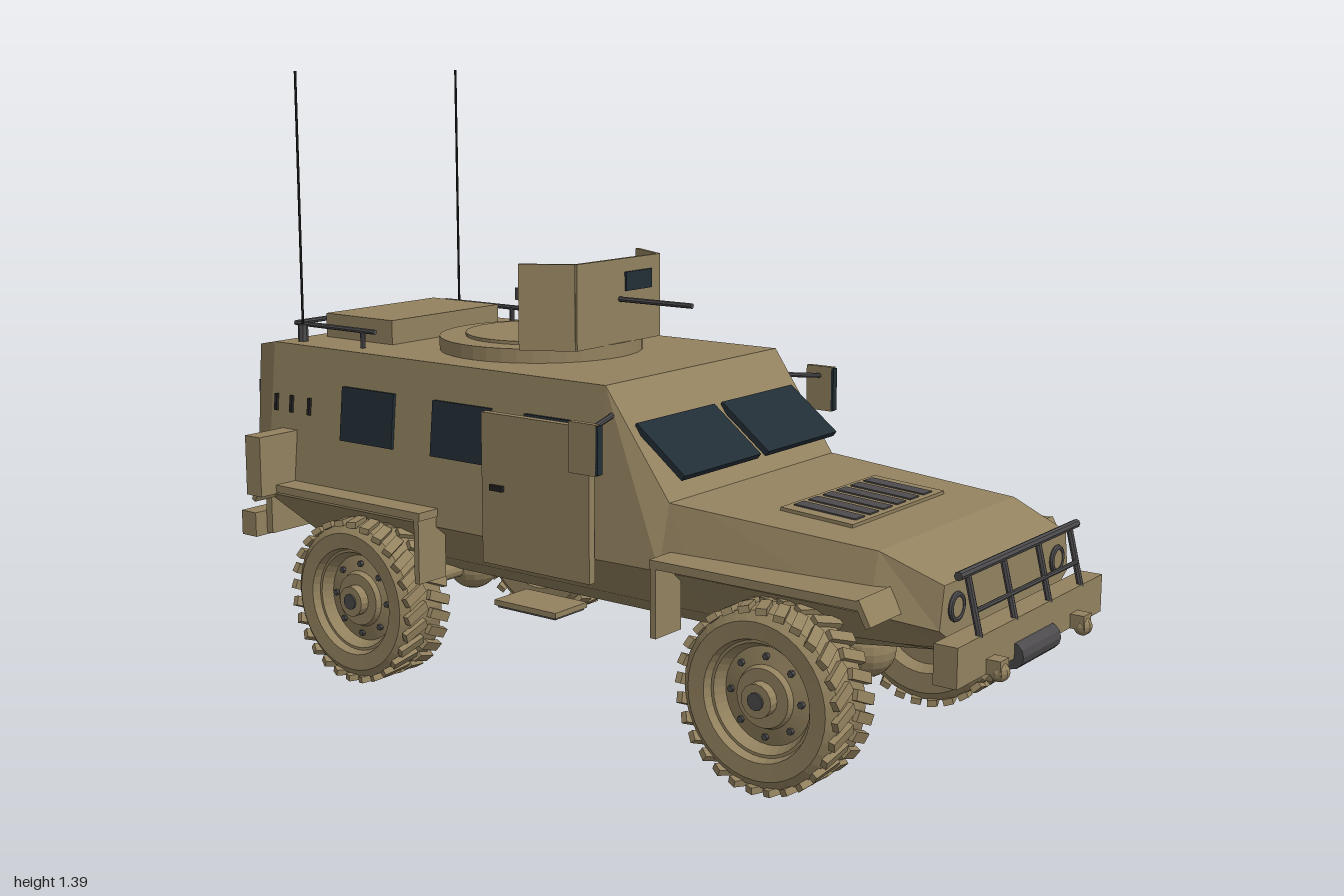
import * as THREE from 'three';

const mat = (name, color) => Object.assign(new THREE.MeshStandardMaterial({ color, flatShading: true }), { name });
const tan = mat('sand paint', 0x93825f);
const glass = mat('dark glass', 0x222e36);
const metal = mat('dark metal', 0x4c4a4c);
const black = mat('black', 0x222222);

function add(parent, name, geo, m, x = 0, y = 0, z = 0) {
  const mesh = new THREE.Mesh(geo, m);
  mesh.name = name;
  mesh.position.set(x, y, z);
  parent.add(mesh);
  return mesh;
}
const box = (p, name, m, w, h, d, x, y, z) => add(p, name, new THREE.BoxGeometry(w, h, d), m, x, y, z);

// Cylinder between two points
function rod(p, name, m, a, b, r, sides = 8) {
  const A = new THREE.Vector3(...a), B = new THREE.Vector3(...b);
  const dir = B.clone().sub(A);
  const mesh = add(p, name, new THREE.CylinderGeometry(r, r, dir.length(), sides), m);
  mesh.position.copy(A).add(B).multiplyScalar(0.5);
  mesh.quaternion.setFromUnitVectors(new THREE.Vector3(0, 1, 0), dir.normalize());
  return mesh;
}

// Skin over mirrored cross-sections; each is z followed by half-outline points from bottom to top
function loft(sections) {
  const pos = [], idx = [];
  const n = (sections[0].length - 1) * 2;
  for (const [z, ...half] of sections) {
    for (const [x, y] of half) pos.push(x, y, z);
    for (const [x, y] of half.slice().reverse()) pos.push(-x, y, z);
  }
  for (let s = 0; s < sections.length - 1; s++) {
    for (let i = 0; i < n; i++) {
      const a = s * n + i, b = s * n + (i + 1) % n;
      idx.push(a, b, b + n, a, b + n, a + n);
    }
  }
  const last = (sections.length - 1) * n;
  for (let i = 1; i < n - 1; i++) {
    idx.push(0, i + 1, i);
    idx.push(last, last + i, last + i + 1);
  }
  const g = new THREE.BufferGeometry();
  g.setAttribute('position', new THREE.Float32BufferAttribute(pos, 3));
  // Rings run counter-clockwise seen from the front, so the skin faces outward
  g.setIndex(idx);
  const flat = g.toNonIndexed();
  flat.computeVertexNormals();
  return flat;
}

function makeWheel() {
  const w = new THREE.Group();
  w.name = 'wheel';
  const profile = [[0, -0.04], [0.1, -0.04], [0.115, -0.063], [0.16, -0.065], [0.179, -0.05], [0.179, 0.05],
    [0.16, 0.065], [0.124, 0.063], [0.118, 0.045], [0.112, 0.045], [0.1, 0.02], [0.065, 0.028], [0.06, 0.04], [0, 0.04]]
    .map(([r, a]) => new THREE.Vector2(r, a));
  add(w, 'tyreAndRim', new THREE.LatheGeometry(profile, 40), tan).rotation.z = -Math.PI / 2;
  // Chevron tread lugs
  const lug = new THREE.BoxGeometry(0.064, 0.014, 0.022);
  for (let i = 0; i < 28; i++) {
    for (const s of [1, -1]) {
      const holder = new THREE.Group();
      holder.name = 'treadRow';
      holder.rotation.x = (i + (s > 0 ? 0 : 0.5)) / 28 * Math.PI * 2;
      add(holder, 'treadLug', lug, tan, s * 0.036, 0.182, 0).rotation.y = s * 0.4;
      w.add(holder);
    }
  }
  // Hub and bolts
  rod(w, 'hub', tan, [0.03, 0, 0], [0.062, 0, 0], 0.035, 16);
  rod(w, 'hubCap', metal, [0.055, 0, 0], [0.066, 0, 0], 0.018, 12);
  for (let i = 0; i < 8; i++) {
    const a = i / 8 * Math.PI * 2, y = Math.cos(a) * 0.082, z = Math.sin(a) * 0.082;
    rod(w, 'wheelBolt', metal, [0.015, y, z], [0.032, y, z], 0.007, 6);
  }
  return w;
}

export function createModel() {
  const g = new THREE.Group();
  g.name = 'armouredTruck';

  // Hull with V-shaped belly, cab and bonnet
  const cabin = z => [z, [0.04, 0.2], [0.2, 0.28], [0.35, 0.4], [0.315, 0.76]];
  add(g, 'hull', loft([
    [-0.935, [0.04, 0.23], [0.18, 0.3], [0.315, 0.41], [0.292, 0.745]],
    cabin(-0.86), cabin(0.14),
    [0.3, [0.04, 0.2], [0.2, 0.28], [0.345, 0.4], [0.31, 0.535]],
    [0.38, [0.04, 0.2], [0.2, 0.28], [0.34, 0.4], [0.305, 0.53]],
    [0.77, [0.04, 0.25], [0.19, 0.3], [0.315, 0.39], [0.28, 0.505]],
    [0.9, [0.04, 0.28], [0.18, 0.31], [0.275, 0.37], [0.26, 0.455]],
  ]), tan);

  // Rear door, window and bumper
  box(g, 'rearPanel', tan, 0.56, 0.46, 0.02, 0, 0.505, -0.94);
  box(g, 'rearDoor', tan, 0.27, 0.44, 0.012, 0.035, 0.51, -0.951);
  box(g, 'rearWindow', glass, 0.09, 0.09, 0.008, 0.015, 0.62, -0.958);
  box(g, 'rearHandle', metal, 0.012, 0.045, 0.012, 0.125, 0.51, -0.96);
  box(g, 'rearBumper', tan, 0.63, 0.06, 0.05, 0, 0.3, -0.975);

  // Bonnet grille
  const grille = new THREE.Group();
  grille.name = 'bonnetGrille';
  grille.position.set(0, 0.52, 0.57);
  grille.rotation.x = 0.064;
  g.add(grille);
  box(grille, 'grilleFrame', tan, 0.37, 0.008, 0.17, 0, 0.001, 0);
  for (let i = 0; i < 6; i++) box(grille, 'grilleSlat', metal, 0.036, 0.006, 0.145, -0.136 + i * 0.0545, 0.005, 0);

  // Front bumper, winch and brush guard
  box(g, 'frontBumper', tan, 0.63, 0.08, 0.05, 0, 0.32, 0.935);
  rod(g, 'winch', metal, [-0.083, 0.285, 0.952], [0.083, 0.285, 0.952], 0.028, 12);
  rod(g, 'guardBar', metal, [-0.255, 0.476, 0.925], [0.255, 0.476, 0.925], 0.009);
  rod(g, 'guardLowerBar', metal, [-0.22, 0.405, 0.945], [0.22, 0.405, 0.945], 0.005);
  for (const x of [-0.22, -0.075, 0.075, 0.22]) rod(g, 'guardPost', metal, [x, 0.355, 0.955], [x, 0.476, 0.925], 0.007);

  // Roof ring, hatch and rear stowage box
  add(g, 'turretRing', new THREE.CylinderGeometry(0.235, 0.235, 0.035, 40), tan, 0, 0.774, -0.3);
  add(g, 'roofHatch', new THREE.CylinderGeometry(0.175, 0.175, 0.01, 40), tan, 0, 0.794, -0.3);
  box(g, 'roofBox', tan, 0.37, 0.06, 0.22, 0, 0.787, -0.71);
  rod(g, 'roofRailRear', metal, [-0.26, 0.8, -0.845], [0.26, 0.8, -0.845], 0.006);

  // Gun shield with angled wings
  box(g, 'shieldFront', tan, 0.3, 0.19, 0.01, 0, 0.885, -0.075);
  box(g, 'shieldWindow', glass, 0.095, 0.043, 0.008, 0.066, 0.928, -0.069);
  box(g, 'shieldWindowBack', glass, 0.095, 0.043, 0.006, 0.066, 0.928, -0.081);
  for (const s of [1, -1]) {
    box(g, 'shieldWing', tan, 0.125, 0.19, 0.01, s * 0.181, 0.885, -0.129).rotation.y = s * 1.04;
  }

  // Mounted gun
  rod(g, 'gunBarrel', metal, [0, 0.89, 0.13], [0, 0.89, -0.2], 0.006);
  box(g, 'gunReceiver', metal, 0.026, 0.038, 0.14, 0, 0.888, -0.27);
  box(g, 'gunGrip', metal, 0.018, 0.028, 0.04, 0, 0.88, -0.352);
  box(g, 'ammoBox', tan, 0.04, 0.05, 0.06, 0.034, 0.885, -0.285);
  rod(g, 'gunPedestal', metal, [0, 0.79, -0.2], [0, 0.88, -0.23], 0.012);

  // Axles with differentials
  for (const z of [0.567, -0.55]) {
    rod(g, 'axle', tan, [-0.3, 0.195, z], [0.3, 0.195, z], 0.02, 12);
    add(g, 'differential', new THREE.SphereGeometry(0.064, 16, 12), tan, 0.027, 0.2, z);
    rod(g, 'driveShaft', metal, [0.027, 0.2, z], [0, 0.23, z > 0 ? 0.3 : -0.3], 0.012);
  }

  // Everything that repeats on both sides
  for (const s of [1, -1]) {
    for (const z of [0.567, -0.55]) {
      const wheel = makeWheel();
      wheel.position.set(s * 0.326, 0.195, z);
      if (s < 0) wheel.rotation.y = Math.PI;
      g.add(wheel);
      rod(g, 'damper', tan, [s * 0.16, 0.18, z], [s * 0.16, 0.29, z], 0.02, 10);
    }

    // Mudguards: flat top, hanging flap and sloped lip
    for (const [z0, z1, flap, lip] of [[0.32, 0.8, 0.33, 0.81], [-0.83, -0.31, -0.32, -0.838]]) {
      box(g, 'mudguardTop', tan, 0.115, 0.018, z1 - z0, s * 0.3475, 0.432, (z0 + z1) / 2);
      box(g, 'mudFlap', tan, 0.085, 0.16, 0.014, s * 0.3625, 0.36, flap);
      box(g, 'mudguardLip', tan, 0.115, 0.055, 0.012, s * 0.3475, 0.417, lip).rotation.x = lip > 0 ? -0.5 : 0.5;
    }

    // Windscreen panes stand off the cab at the sill
    box(g, 'windscreen', glass, 0.275, 0.155, 0.014, s * 0.152, 0.632, 0.258).rotation.x = -0.913;

    // Side windows follow the sloped wall
    for (const [z, w] of [[-0.25, 0.17], [-0.537, 0.165], [0.015, 0.17]]) {
      box(g, 'sideWindow', glass, 0.009, 0.125, w, s * 0.332, 0.617, z).rotation.z = s * 0.097;
    }
    for (const z of [-0.73, -0.79, -0.842]) {
      box(g, 'ventSlit', black, 0.008, 0.04, 0.008, s * 0.331, 0.62, z).rotation.z = s * 0.097;
    }

    // Door, handle and step
    box(g, 'sideDoor', tan, 0.018, 0.33, 0.295, s * 0.361, 0.515, -0.008);
    box(g, 'doorHandle', black, 0.01, 0.012, 0.035, s * 0.374, 0.52, -0.11);
    box(g, 'step', tan, 0.105, 0.012, 0.17, s * 0.333, 0.272, -0.025);
    box(g, 'stepUnderside', metal, 0.095, 0.006, 0.16, s * 0.333, 0.264, -0.025);

    // Mirror on arm
    rod(g, 'mirrorArm', metal, [s * 0.32, 0.7, 0.16], [s * 0.435, 0.685, 0.185], 0.006);
    box(g, 'mirror', tan, 0.014, 0.105, 0.07, s * 0.441, 0.655, 0.185);
    box(g, 'mirrorGlass', glass, 0.016, 0.1, 0.006, s * 0.44, 0.655, 0.222);

    // Rear side bins
    box(g, 'sideBin', tan, 0.12, 0.14, 0.05, s * 0.39, 0.49, -0.795);
    box(g, 'tailLight', metal, 0.035, 0.03, 0.01, s * 0.265, 0.64, -0.952);

    // Headlights and tow hooks
    add(g, 'headlightRing', new THREE.TorusGeometry(0.024, 0.006, 8, 20), metal, s * 0.215, 0.405, 0.903);
    rod(g, 'headlight', tan, [s * 0.215, 0.405, 0.89], [s * 0.215, 0.405, 0.906], 0.022, 16);
    box(g, 'towHook', tan, 0.035, 0.03, 0.05, s * 0.183, 0.295, 0.965);
    add(g, 'towEye', new THREE.SphereGeometry(0.02, 10, 8), tan, s * 0.183, 0.285, 0.98);

    // Roof rails and antennas
    rod(g, 'roofRail', metal, [s * 0.26, 0.8, -0.58], [s * 0.26, 0.8, -0.845], 0.006);
    for (const z of [-0.62, -0.83]) rod(g, 'railFoot', metal, [s * 0.26, 0.755, z], [s * 0.26, 0.8, z], 0.006);
    rod(g, 'antennaBase', metal, [s * 0.27, 0.755, -0.81], [s * 0.27, 0.8, -0.81], 0.012);
    rod(g, 'antenna', black, [s * 0.27, 0.79, -0.81], [s * 0.27, 1.39, -0.81], 0.003, 6);
  }
  return g;
}
